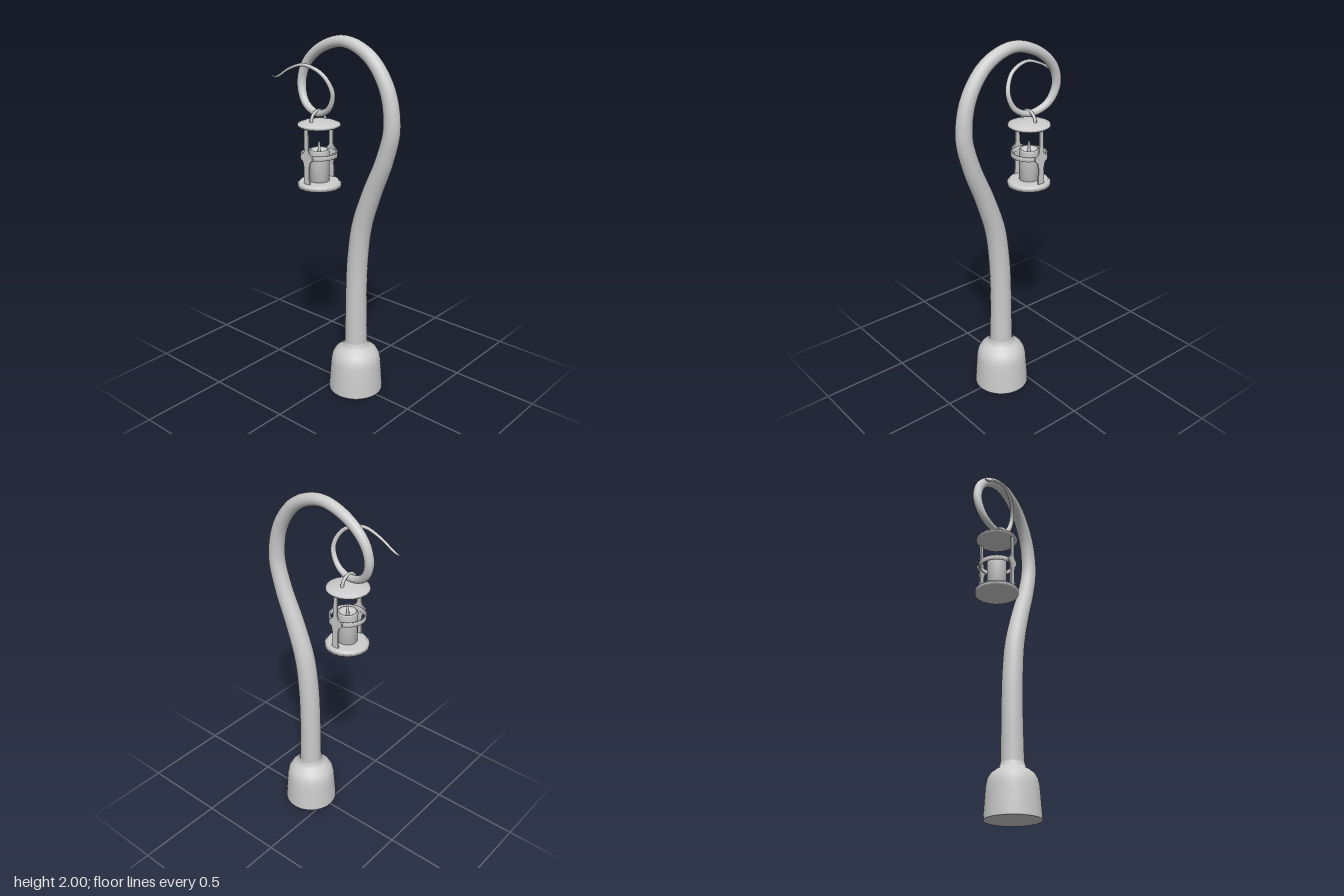
import * as THREE from 'three';

const material = new THREE.MeshStandardMaterial({ color: 0xcccccc, side: THREE.DoubleSide });

function addPart(parent, name, geometry, x = 0, y = 0, z = 0) {
  const mesh = new THREE.Mesh(geometry, material);
  mesh.name = name;
  mesh.position.set(x, y, z);
  parent.add(mesh);
  return mesh;
}

const lathe = (profile, sides) =>
  new THREE.LatheGeometry(profile.map(([r, y]) => new THREE.Vector2(r, y)), sides);

// Tube through [x, y, z, radius] stations, tapering between them
function taperedTube(stations, segments, sides) {
  const curve = new THREE.CatmullRomCurve3(stations.map(([x, y, z]) => new THREE.Vector3(x, y, z)));
  const geometry = new THREE.TubeGeometry(curve, segments, 1, sides);
  const pos = geometry.attributes.position;
  const v = new THREE.Vector3();
  for (let i = 0; i <= segments; i++) {
    const u = i / segments;
    const center = curve.getPointAt(u);
    const t = curve.getUtoTmapping(u) * (stations.length - 1);
    const k = Math.min(Math.floor(t), stations.length - 2);
    const radius = THREE.MathUtils.lerp(stations[k][3], stations[k + 1][3], t - k);
    for (let j = 0; j <= sides; j++) {
      const n = i * (sides + 1) + j;
      v.fromBufferAttribute(pos, n).sub(center).multiplyScalar(radius).add(center);
      pos.setXYZ(n, v.x, v.y, v.z);
    }
  }
  return geometry;
}

function createLantern() {
  const lantern = new THREE.Group();
  lantern.name = 'lantern';
  lantern.position.set(-0.113, 0, 0.035);

  // Shallow domed roof and floor plate
  addPart(lantern, 'lanternRoof', lathe([[0, 1.516], [0.108, 1.514], [0.117, 1.522], [0.114, 1.53],
    [0.085, 1.541], [0.045, 1.55], [0, 1.552]], 20));
  addPart(lantern, 'lanternFloor', lathe([[0, 1.181], [0.12, 1.181], [0.12, 1.2], [0.112, 1.203],
    [0.106, 1.214], [0, 1.214]], 20));

  // Hanging loop over the hook
  const loop = addPart(lantern, 'hangingLoop', new THREE.TorusGeometry(0.054, 0.009, 8, 20, Math.PI), 0, 1.546, 0.006);
  loop.rotation.y = Math.PI / 2;

  // Front and back straps that flare where they meet the ring
  const edge = [[0.012, 1.52], [0.014, 1.4], [0.02, 1.385], [0.042, 1.37], [0.042, 1.35],
    [0.024, 1.335], [0.017, 1.3], [0.02, 1.205]];
  const outline = [...edge, ...edge.map(([x, y]) => [-x, y]).reverse()];
  const strap = new THREE.ExtrudeGeometry(new THREE.Shape(outline.map(([x, y]) => new THREE.Vector2(x, y))),
    { depth: 0.008, bevelEnabled: false });
  addPart(lantern, 'frontStrap', strap, 0, 0, 0.094);
  addPart(lantern, 'backStrap', strap, 0, 0, -0.102);

  // Flat guard ring
  addPart(lantern, 'guardRing', lathe([[0.09, 1.348], [0.1, 1.348], [0.1, 1.372], [0.09, 1.372], [0.09, 1.348]], 24));

  // Candle with a raised rim and wick
  addPart(lantern, 'candle', lathe([[0, 1.21], [0.055, 1.21], [0.055, 1.38], [0.051, 1.39], [0.045, 1.388],
    [0.04, 1.372], [0, 1.368]], 20));
  addPart(lantern, 'wick', new THREE.CylinderGeometry(0.006, 0.009, 0.06, 8), 0, 1.398, 0);
  return lantern;
}

export function createModel() {
  const model = new THREE.Group();
  model.name = 'lampPost';

  // Bell-shaped foot, closed underneath
  const foot = [[0.153, 0], [0.153, 0.012], [0.15, 0.06], [0.145, 0.13], [0.141, 0.18], [0.134, 0.212],
    [0.118, 0.24], [0.096, 0.258], [0.079, 0.268], [0.07, 0.28], [0.065, 0.3]];
  addPart(model, 'foot', lathe(foot, 40), 0.123, 0, -0.003);
  const underside = addPart(model, 'footUnderside', new THREE.CircleGeometry(0.153, 40), 0.123, 0, -0.003);
  underside.rotation.x = Math.PI / 2;

  // Post sweeping up into a crook, then curling forward to a thin tip
  addPart(model, 'crookedPost', taperedTube([
    [0.123, 0.25, -0.003, 0.065], [0.122, 0.42, -0.003, 0.062], [0.122, 0.6, -0.003, 0.06],
    [0.13, 0.8, -0.003, 0.059], [0.157, 1.0, -0.003, 0.057], [0.223, 1.2, -0.003, 0.053],
    [0.304, 1.4, -0.003, 0.048], [0.343, 1.57, -0.003, 0.045], [0.308, 1.76, -0.003, 0.041],
    [0.195, 1.908, -0.003, 0.037], [0.03, 1.968, -0.004, 0.032], [-0.135, 1.92, -0.006, 0.029],
    [-0.24, 1.825, -0.006, 0.027], [-0.268, 1.72, 0, 0.025], [-0.226, 1.625, 0.017, 0.022],
    [-0.12, 1.583, 0.038, 0.019], [-0.03, 1.62, 0.051, 0.016], [0.008, 1.71, 0.063, 0.013],
    [-0.037, 1.803, 0.088, 0.011], [-0.15, 1.844, 0.105, 0.009], [-0.26, 1.811, 0.107, 0.007],
    [-0.33, 1.768, 0.109, 0.006], [-0.365, 1.756, 0.109, 0.004], [-0.389, 1.768, 0.108, 0.001],
  ], 200, 20));

  model.add(createLantern());
  return model;
}
